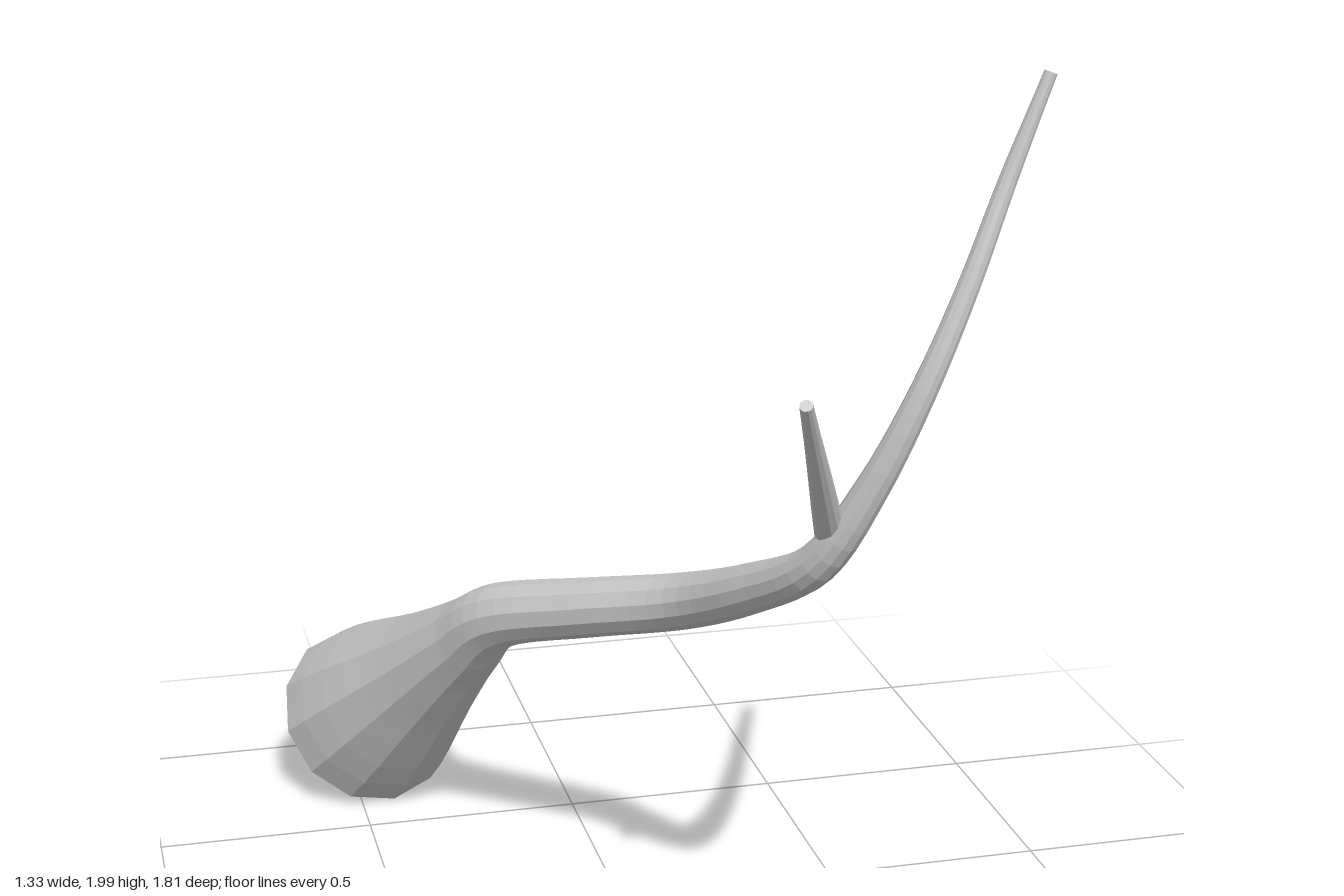
import * as THREE from 'three';

const SIDES = 12;

// Tapered tube through stations [x, y, z, radius]; open at the base, capped at the tip.
function limbGeometry(stations, steps, firstCorner) {
  const path = new THREE.CatmullRomCurve3(
    stations.map(([x, y, z]) => new THREE.Vector3(x, y, z)), false, 'catmullrom', 0.5);
  const radii = new THREE.SplineCurve(stations.map((s, i) => new THREE.Vector2(i, s[3])));
  const positions = [], index = [];
  const normal = firstCorner.clone(), binormal = new THREE.Vector3();

  for (let i = 0; i <= steps; i++) {
    const t = i / steps;
    const centre = path.getPoint(t), tangent = path.getTangent(t), r = radii.getPoint(t).y;
    // Carry the corner direction along the path so the sides do not twist
    normal.addScaledVector(tangent, -normal.dot(tangent)).normalize();
    binormal.crossVectors(tangent, normal);
    for (let j = 0; j < SIDES; j++) {
      const a = (j / SIDES) * Math.PI * 2;
      const p = centre.clone()
        .addScaledVector(normal, Math.cos(a) * r)
        .addScaledVector(binormal, Math.sin(a) * r);
      positions.push(p.x, p.y, p.z);
      if (i < steps) {
        const k = (j + 1) % SIDES, row = i * SIDES, next = row + SIDES;
        index.push(row + j, row + k, next + j, row + k, next + k, next + j);
      }
    }
  }

  // Tip cap
  const last = steps * SIDES;
  for (let j = 1; j < SIDES - 1; j++) index.push(last, last + j, last + j + 1);

  const geometry = new THREE.BufferGeometry();
  geometry.setAttribute('position', new THREE.Float32BufferAttribute(positions, 3));
  geometry.setIndex(index);
  const flat = geometry.toNonIndexed();
  flat.computeVertexNormals();
  return flat;
}

export function createModel() {
  const model = new THREE.Group();
  model.name = 'branch';

  const bark = new THREE.MeshStandardMaterial({ color: 0xcccccc, side: THREE.DoubleSide, flatShading: true });
  bark.name = 'pale grey bark';

  const addLimb = (name, stations, steps, corner) => {
    const mesh = new THREE.Mesh(limbGeometry(stations, steps, corner), bark);
    mesh.name = name;
    model.add(mesh);
  };

  // Main limb: flared open base, winding middle, thin upright tip
  addLimb('mainLimb', [
    [-0.46, 0.185, -0.76, 0.222],
    [-0.35, 0.42, -0.47, 0.137],
    [-0.29, 0.545, -0.32, 0.097],
    [-0.23, 0.65, -0.19, 0.074],
    [-0.07, 0.727, 0.0, 0.066],
    [0.09, 0.80, 0.19, 0.061],
    [0.18, 0.90, 0.40, 0.053],
    [0.26, 1.02, 0.59, 0.043],
    [0.34, 1.20, 0.675, 0.034],
    [0.42, 1.40, 0.717, 0.027],
    [0.50, 1.60, 0.72, 0.022],
    [0.575, 1.80, 0.707, 0.018],
    [0.648, 1.997, 0.708, 0.013],
  ], 60, new THREE.Vector3(0.04, -0.175, 0.13));

  // Straight side twig
  addLimb('sideTwig', [
    [0.277, 1.085, 0.61, 0.031],
    [0.205, 1.265, 0.75, 0.022],
    [0.133, 1.443, 0.887, 0.013],
  ], 4, new THREE.Vector3(1, 0, 0));

  return model;
}
